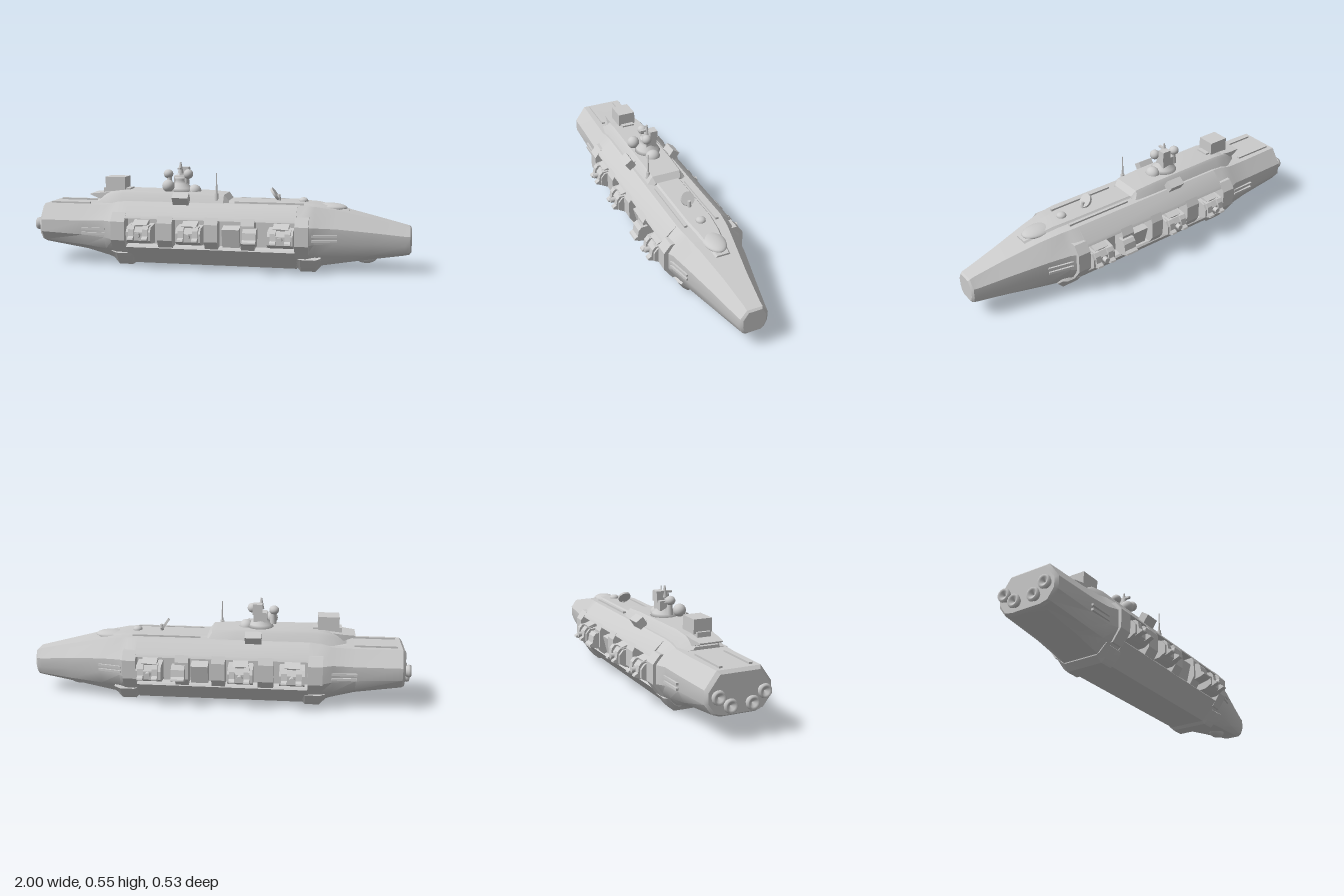
import * as THREE from 'three';
import { toCreasedNormals } from 'three/addons/utils/BufferGeometryUtils.js';

const mat = new THREE.MeshStandardMaterial({ color: 0xcccccc, side: THREE.DoubleSide });

// Skin between [z, y] rings placed along x; each ring runs up the +z side and down the -z side
function loft(rings, crease = 0.5) {
  const pos = [];
  const put = (...ps) => ps.forEach(p => pos.push(...p));
  const P = rings.map(([x, pts]) => pts.map(([z, y]) => [x, y, z]));
  const n = P[0].length;
  for (let i = 0; i < P.length - 1; i++) {
    for (let j = 0; j < n; j++) {
      const k = (j + 1) % n;
      const a = P[i][j], b = P[i + 1][j], c = P[i + 1][k], d = P[i][k];
      put(a, b, c, a, c, d);
    }
  }
  const cap = (ring, flip) => {
    const tris = THREE.ShapeUtils.triangulateShape(ring.map(p => new THREE.Vector2(p[2], p[1])), []);
    for (const [a, b, c] of tris) flip ? put(ring[a], ring[c], ring[b]) : put(ring[a], ring[b], ring[c]);
  };
  cap(P[0], false);
  cap(P[P.length - 1], true);
  const g = new THREE.BufferGeometry();
  g.setAttribute('position', new THREE.Float32BufferAttribute(pos, 3));
  return toCreasedNormals(g, crease);
}

// Full ring from its +z half
const mirror = half => [...half, ...half.map(([z, y]) => [-z, y]).reverse()];

// Hull station: x, keel, chine, lower waist, upper waist, deck edge
const station = ([x, wb, yb, wk, yk, w, y1, y2, wt, yt]) =>
  [x, mirror([[wb, yb], [wk, yk], [w, y1], [w, y2], [wt, yt]])];

// Straight prism along x, on one side of the ship
const prism = (pts, x0, x1, side) => {
  const ring = side > 0 ? pts : pts.map(([z, y]) => [-z, y]).reverse();
  return loft([[x0, ring], [x1, ring]]);
};

export function createModel() {
  const root = new THREE.Group();
  const add = (name, geo, x = 0, y = 0, z = 0, rx = 0, rz = 0) => {
    const m = new THREE.Mesh(geo, mat);
    m.name = name;
    m.position.set(x, y, z);
    m.rotation.set(rx, 0, rz);
    root.add(m);
    return m;
  };
  const box = (name, w, h, d, ...at) => add(name, new THREE.BoxGeometry(w, h, d), ...at);
  const ball = (name, r, x, y, z, sx = 1, sy = 1, sz = 1) =>
    add(name, new THREE.SphereGeometry(r, 24, 16), x, y, z).scale.set(sx, sy, sz);
  const rod = (name, r0, r1, h, ...at) => add(name, new THREE.CylinderGeometry(r0, r1, h, 20), ...at);

  // Hull: stern, recessed middle and tapering bow
  add('sternHull', loft([
    [-0.97, 0.08, 0.12, 0.12, 0.13, 0.155, 0.18, 0.23, 0.1, 0.305],
    [-0.955, 0.09, 0.11, 0.13, 0.125, 0.168, 0.175, 0.24, 0.11, 0.32],
    [-0.72, 0.09, 0.075, 0.14, 0.105, 0.172, 0.165, 0.24, 0.115, 0.32],
    [-0.6, 0.095, 0.045, 0.15, 0.09, 0.178, 0.155, 0.245, 0.12, 0.325],
    [-0.54, 0.1, 0.025, 0.165, 0.09, 0.205, 0.15, 0.245, 0.12, 0.34],
    [-0.48, 0.1, 0.02, 0.165, 0.09, 0.208, 0.15, 0.245, 0.12, 0.345],
  ].map(station)));
  const bay = mirror([[0.1, 0.012], [0.165, 0.085], [0.188, 0.11], [0.18, 0.12], [0.14, 0.125],
    [0.14, 0.262], [0.198, 0.265], [0.19, 0.28], [0.12, 0.345]]);
  add('middleHull', loft([[-0.48, bay], [0.42, bay]]));
  add('bowHull', loft([
    [0.42, 0.1, 0.02, 0.165, 0.09, 0.208, 0.15, 0.245, 0.12, 0.345],
    [0.47, 0.1, 0.022, 0.165, 0.09, 0.203, 0.15, 0.245, 0.115, 0.342],
    [0.51, 0.095, 0.028, 0.15, 0.09, 0.178, 0.155, 0.24, 0.11, 0.34],
    [0.62, 0.085, 0.045, 0.13, 0.09, 0.155, 0.16, 0.235, 0.09, 0.322],
    [0.8, 0.06, 0.07, 0.09, 0.095, 0.112, 0.155, 0.215, 0.06, 0.282],
    [0.965, 0.04, 0.092, 0.058, 0.105, 0.075, 0.145, 0.195, 0.04, 0.243],
    [0.988, 0.04, 0.098, 0.056, 0.11, 0.07, 0.145, 0.195, 0.04, 0.237],
    [0.997, 0.032, 0.108, 0.046, 0.118, 0.058, 0.148, 0.19, 0.034, 0.228],
  ].map(station)));
  ball('chinBulge', 0.05, 0.77, 0.075, 0, 1.2, 0.75, 0.8);

  // Transverse keel feet
  const foot = mirror([[0.1, 0], [0.125, 0.025], [0.155, 0.07], [0.13, 0.1]]);
  const footTop = mirror([[0.09, 0.03], [0.11, 0.04], [0.15, 0.08], [0.12, 0.1]]);
  for (const x of [-0.5, 0.48]) {
    add('keelFoot', loft([[x - 0.07, footTop], [x - 0.04, foot], [x + 0.035, foot], [x + 0.065, footTop]]));
  }

  // Gun bays, frames and side slats
  const frame = [[0.13, 0.1], [0.175, 0.1], [0.21, 0.155], [0.21, 0.245], [0.19, 0.28], [0.13, 0.28]];
  const endFrame = [[0.15, 0.085], [0.17, 0.085], [0.216, 0.15], [0.216, 0.248], [0.18, 0.292], [0.15, 0.292]];
  const housing = [[0.13, 0.13], [0.2, 0.135], [0.235, 0.155], [0.235, 0.2], [0.215, 0.225], [0.13, 0.235]];
  const prong = [[0.19, 0.14], [0.24, 0.152], [0.265, 0.163], [0.262, 0.171], [0.246, 0.18], [0.24, 0.215],
    [0.225, 0.232], [0.19, 0.232]];
  for (const s of [1, -1]) {
    for (const [a, b] of [[-0.3, -0.22], [-0.05, 0.02], [0.14, 0.21]]) add('bayFrame', prism(frame, a, b, s));
    for (const [a, b] of [[-0.55, -0.475], [0.415, 0.485]]) add('endFrame', prism(endFrame, a, b, s));
    for (const x of [-0.395, -0.13, 0.345]) {
      add('gunHousing', prism(housing, x - 0.065, x + 0.065, s));
      for (const d of [-0.05, 0.025]) add('gunProng', prism(prong, x + d, x + d + 0.03, s));
      rod('gunBarrel', 0.014, 0.014, 0.07, x, 0.185, s * 0.225, Math.PI / 2);
      box('gunHood', 0.08, 0.02, 0.06, x, 0.235, s * 0.18, s * 0.35);
    }
    // Folded gun between the forward frames
    add('foldedGun', prism(prong, 0.155, 0.225, s));
    box('foldedGunBody', 0.09, 0.1, 0.06, 0.085, 0.18, s * 0.155, s * 0.25);
    for (const y of [0.175, 0.2]) {
      box('sternSlat', 0.13, 0.012, 0.02, -0.66, y, s * 0.175);
      const slat = box('bowSlat', 0.13, 0.012, 0.02, 0.56, y, s * 0.167);
      slat.rotation.y = s * 0.22;
    }
    box('sternDeckRail', 0.22, 0.014, 0.018, -0.82, 0.322, s * 0.075);
    box('foreDeckRail', 0.36, 0.012, 0.016, 0.27, 0.348, s * 0.085);

    // Angled sensor pods beside the tower
    box('sensorPod', 0.085, 0.048, 0.045, -0.19, 0.366, s * 0.128, s * 0.6);
    box('sensorArm', 0.05, 0.025, 0.06, -0.19, 0.362, s * 0.09, s * 0.35);

    // Stern engine nozzles
    for (const [y, z] of [[0.165, 0.055], [0.21, 0.115]]) {
      const pts = [[0, 0], [0.022, 0], [0.026, 0.02], [0.034, 0.032], [0.03, 0.045], [0.02, 0.04], [0, 0.025]];
      add('engineNozzle', new THREE.LatheGeometry(pts.map(p => new THREE.Vector2(...p)), 20),
        -0.955, y, s * z, 0, Math.PI / 2);
    }
  }

  // Upper decks
  const tier = (w, y, b = 0.33) => mirror([[w + 0.035, b], [w + 0.01, y - 0.012], [w, y]]);
  add('upperDeck', loft([[-0.67, tier(0.06, 0.345)], [-0.6, tier(0.075, 0.385)], [-0.52, tier(0.08, 0.397)],
    [-0.1, tier(0.08, 0.393)], [0.03, tier(0.078, 0.385)], [0.055, tier(0.07, 0.355)]]));
  add('foreDeck', loft([[0.05, tier(0.06, 0.355)], [0.42, tier(0.06, 0.355)], [0.52, tier(0.05, 0.35)],
    [0.68, tier(0.03, 0.318, 0.29)]]));
  ball('foreDeckDome', 0.08, 0.58, 0.325, 0, 1.1, 0.3, 0.7);

  // Aft hangar block with its pointed fantail
  box('aftBlock', 0.11, 0.07, 0.095, -0.575, 0.43, 0);
  box('aftBlockBase', 0.15, 0.03, 0.07, -0.57, 0.39, 0);
  const tail = (w, y0, y1) => mirror([[w, y0], [w, y1]]);
  add('fantail', loft([[-0.715, tail(0.06, 0.368, 0.373)], [-0.65, tail(0.07, 0.345, 0.38)],
    [-0.56, tail(0.07, 0.345, 0.39)]]));

  // Command tower
  const towerProfile = [[0, 0], [0.075, 0], [0.06, 0.025], [0.036, 0.05], [0.03, 0.07], [0.04, 0.085], [0, 0.09]];
  add('towerBase', new THREE.LatheGeometry(towerProfile.map(p => new THREE.Vector2(...p)), 24), -0.22, 0.385, 0);
  box('bridge', 0.07, 0.05, 0.06, -0.22, 0.45, -0.01);
  ball('towerFrontDome', 0.04, -0.145, 0.392, 0, 0.9, 0.9, 1);
  ball('aftRadome', 0.033, -0.275, 0.425, 0.06);
  rod('radarStalk', 0.012, 0.018, 0.07, -0.285, 0.445, 0);
  ball('aftRadar', 0.026, -0.29, 0.483, 0, 1, 0.9, 1);
  ball('frontRadar', 0.026, -0.175, 0.486, 0.022);
  box('radarBox', 0.05, 0.055, 0.042, -0.205, 0.493, -0.023);
  rod('mast', 0.004, 0.016, 0.06, -0.222, 0.517, 0.002);
  box('mastYard', 0.014, 0.01, 0.085, -0.222, 0.515, -0.003);

  // Whip antenna, tilted deck dish and forward ball turret
  rod('antenna', 0.002, 0.006, 0.13, -0.008, 0.435, 0.086);
  rod('antennaFoot', 0.01, 0.014, 0.04, -0.008, 0.375, 0.086);
  rod('dishPost', 0.008, 0.012, 0.04, 0.31, 0.367, 0);
  rod('deckDish', 0.036, 0.036, 0.012, 0.29, 0.388, 0, 0, -0.95);
  ball('ballTurret', 0.025, 0.44, 0.357, 0, 1, 0.7, 1);
  return root;
}
